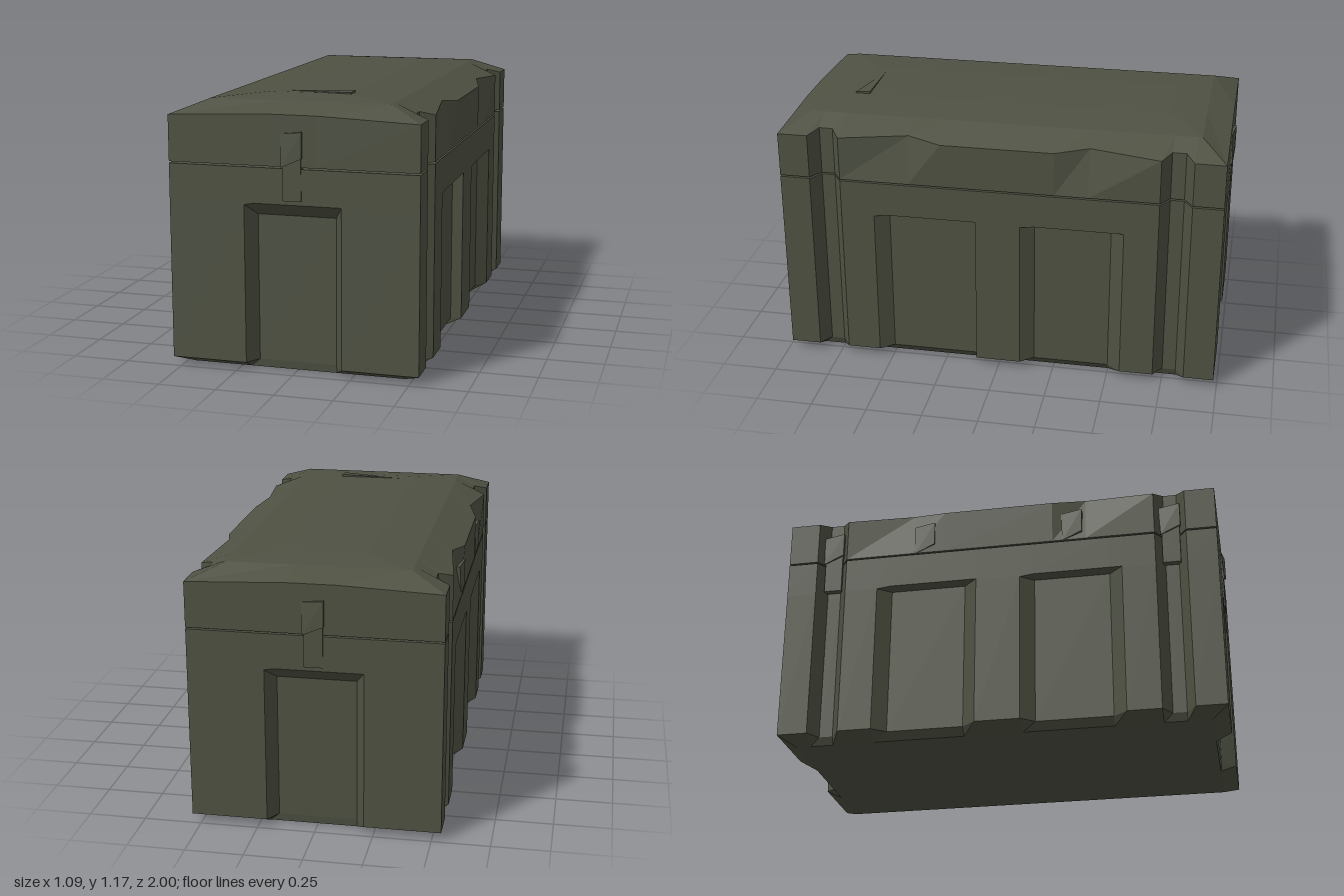
import * as THREE from 'three';
import { ConvexGeometry } from 'three/addons/geometries/ConvexGeometry.js';

const W = 0.54, D = 0.985;

// Walk half the footprint (right side, then front) and rotate it for the other half.
// Spec entries are [position along the edge, kind]
function footprint(side, front, leftSide = side) {
  const half = (s) => [
    ...s.map(([a, kind]) => ({ x: W, z: a, nx: 1, nz: 0, kind })),
    ...front.map(([a, kind]) => ({ x: a, z: D, nx: 0, nz: 1, kind })),
  ];
  const turned = half(leftSide).map((p) => ({ ...p, x: -p.x, z: -p.z, nx: -p.nx, nz: -p.nz }));
  return [...half(side), ...turned];
}

const inset = (p, d, y) => [p.x - p.nx * d, y, p.z - p.nz * d];
const clamp = (v, m) => Math.max(-m, Math.min(m, v));

// Closed solid through a stack of rings with equal point counts
function loft(rings) {
  const n = rings[0].length, index = [];
  for (let r = 0; r < rings.length - 1; r++) {
    for (let i = 0; i < n; i++) {
      const a = r * n + i, b = r * n + (i + 1) % n;
      index.push(a, a + n, b, b, a + n, b + n);
    }
  }
  const cap = (r, up) => {
    const pts = rings[r].map(([x, , z]) => new THREE.Vector2(x, z));
    for (const [a, b, c] of THREE.ShapeUtils.triangulateShape(pts, [])) {
      const area = THREE.ShapeUtils.area([pts[a], pts[b], pts[c]]);
      const o = r * n;
      if ((area < 0) === up) index.push(o + a, o + b, o + c);
      else index.push(o + a, o + c, o + b);
    }
  };
  cap(0, false);
  cap(rings.length - 1, true);
  const g = new THREE.BufferGeometry();
  g.setAttribute('position', new THREE.Float32BufferAttribute(rings.flat(2), 3));
  g.setIndex(index);
  const flat = g.toNonIndexed();
  flat.computeVertexNormals();
  return flat;
}

export function createModel() {
  const model = new THREE.Group();
  model.name = 'storageCrate';
  const olive = new THREE.MeshStandardMaterial({ color: 0x4e5142, flatShading: true });
  olive.name = 'dark olive';
  const add = (name, geometry, parent = model) => {
    const m = new THREE.Mesh(geometry, olive);
    m.name = name;
    parent.add(m);
    return m;
  };

  // Body: g = full-height corner groove, r = panel recess
  const GROOVE = 0.06;
  const grooveA = [[-D], [-0.85], [-0.81, 'g'], [-0.75, 'g'], [-0.71]];
  const grooveB = [[0.71], [0.75, 'g'], [0.81, 'g'], [0.85], [D]];
  const sidePanels = (inner) => [
    ...grooveA,
    [-0.56], [-0.5, 'r'], [-0.16, 'r'], [-0.1],
    [0.1], [inner, 'r'], [0.5, 'r'], [0.56],
    ...grooveB,
  ];
  const endPanel = [[0.21], [0.17, 'r'], [-0.17, 'r'], [-0.21]];
  const base = footprint(sidePanels(0.11), endPanel, sidePanels(0.16));
  const depth = (p, open) =>
    p.kind === 'g' ? GROOVE : p.kind === 'r' && open ? (p.nz ? 0.065 : 0.048) : 0;
  const bodyRing = (y, open) => base.map((p) => inset(p, depth(p, open), y));
  const foot = bodyRing(0.005, true).map(([x, y, z]) => [clamp(x, 0.465), y, clamp(z, 0.915)]);
  const recessTop = base.map((p) =>
    inset(p, depth(p, true), p.nz && p.kind === 'r' ? 0.675 : 0.725));
  add('crateBody', loft([foot, bodyRing(0.04, true), recessTop, bodyRing(0.733, false), bodyRing(0.885, false)]));

  // Lid: s = scalloped upper edge, t = raised point on the end edge
  const rim = footprint(
    [...grooveA, [-0.4, 's'], [-0.25], [0.25], [0.4, 's'], ...grooveB],
    [[0.1, 't'], [-0.1, 't']]);
  const lidBase = rim.map((p) => inset(p, p.kind === 'g' ? GROOVE : 0, 0.892));
  const lidEdge = rim.map((p) => inset(
    p,
    p.kind === 'g' ? GROOVE : p.kind === 's' ? 0.04 : 0,
    p.kind ? 1.108 : 1.09));
  const shrink = (y, mx, mz) => lidBase.map(([x, , z]) => [clamp(x, mx), y, clamp(z, mz)]);
  add('lid', loft([lidBase, lidEdge, shrink(1.15, 0.39, 0.87), shrink(1.166, 0.18, 0.72)]));

  // Shallow raised flap on the lid
  add('lidFlap', new ConvexGeometry([
    [-0.12, 1.16, 0.67], [0.18, 1.176, 0.66], [0.18, 1.172, 0.725], [0.18, 1.15, 0.725],
    [0.18, 1.15, 0.66], [-0.12, 1.166, 0.665],
  ].map((p) => new THREE.Vector3(...p))));

  // Latches: folded hasp, with a strap below on the long ones
  const hasp = new ConvexGeometry([
    [-0.05, 1.03, -0.04], [0.045, 1.04, -0.04], [0.045, 0.93, -0.04], [-0.045, 0.89, -0.04],
    [-0.05, 1.03, 0.002], [0.045, 1.04, 0.015], [0.045, 0.93, 0.015], [-0.045, 0.89, 0.01],
  ].map((p) => new THREE.Vector3(...p)));
  const strap = new THREE.BoxGeometry(0.08, 0.18, 0.03);
  strap.translate(0, 0.84, -0.01);
  const latch = (name, x, z, turn, long) => {
    const g = new THREE.Group();
    g.name = name;
    add('hasp', hasp, g);
    if (long) add('strap', strap, g);
    g.position.set(x, 0, z);
    g.rotation.y = turn;
    model.add(g);
  };
  latch('frontLatch', 0, D, 0, true);
  latch('backLatch', 0, -D, Math.PI, true);
  for (const z of [-0.78, -0.34, 0.34, 0.78]) {
    const inGroove = Math.abs(z) > 0.5;
    latch('sideLatch', inGroove ? -W + 0.035 : -W + 0.008, z, -Math.PI / 2, inGroove);
  }

  return model;
}
